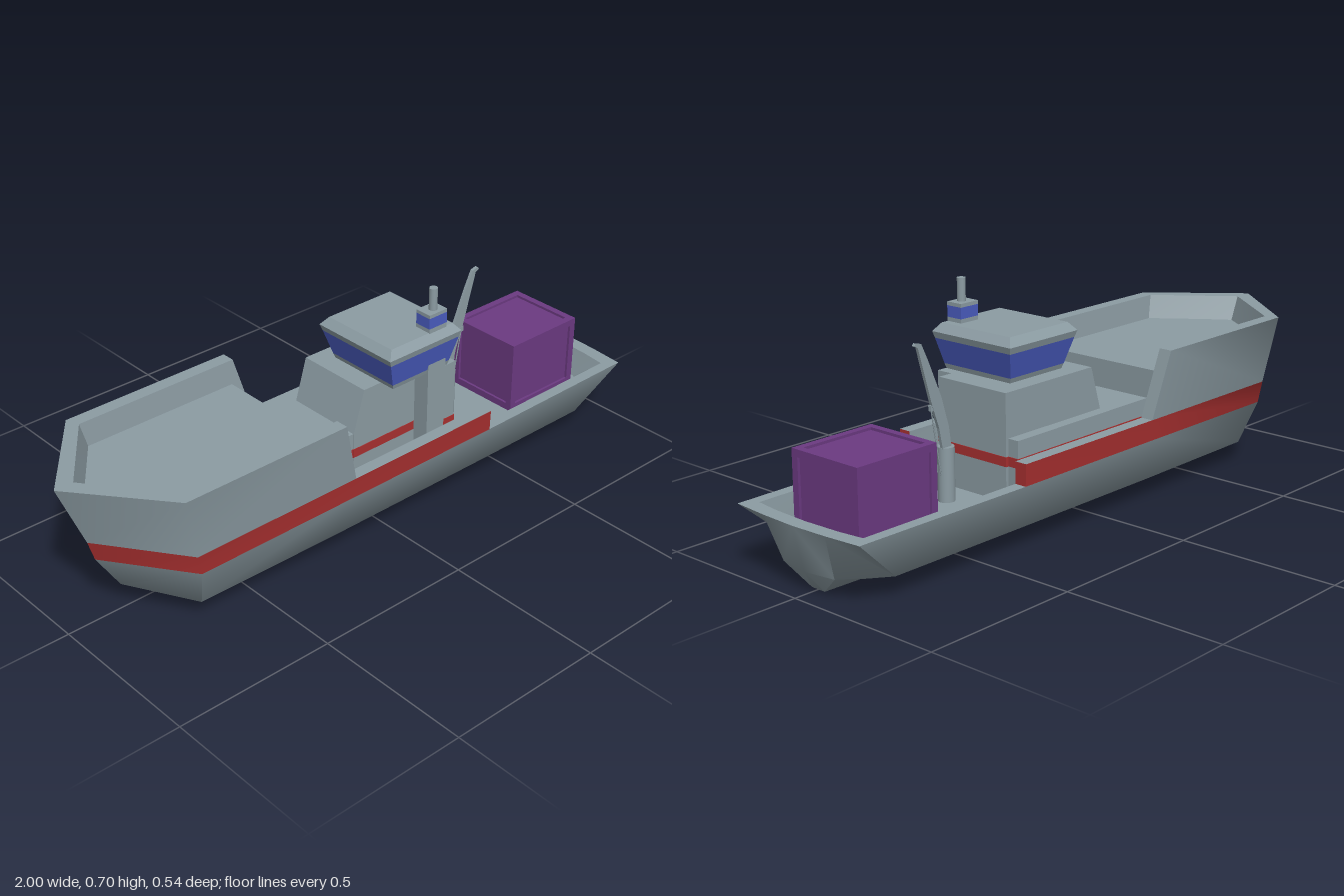
import * as THREE from 'three';
import { mergeGeometries, toCreasedNormals } from 'three/addons/utils/BufferGeometryUtils.js';

const material = (name, color, side = THREE.FrontSide) => {
  const m = new THREE.MeshStandardMaterial({ color, side });
  m.name = name;
  return m;
};

export function createModel() {
  const ship = new THREE.Group();
  ship.name = 'cargoShip';
  const grey = material('hullGrey', 0x8c9ca3, THREE.DoubleSide);
  const red = material('stripeRed', 0xa83030, THREE.DoubleSide);
  const blue = material('windowBlue', 0x4a5cc0);
  const purple = material('containerPurple', 0x6c3a82);

  const add = (name, geometry, mat, parent = ship) => {
    const mesh = new THREE.Mesh(geometry, mat);
    mesh.name = name;
    parent.add(mesh);
    return mesh;
  };

  // Six-sided block between two rectangles [x0, x1, z0, z1] at heights y0 and y1
  const blockGeo = (y0, a, y1, b = a) => {
    const g = new THREE.BoxGeometry(1, 1, 1);
    const p = g.attributes.position;
    for (let i = 0; i < p.count; i++) {
      const top = p.getY(i) > 0;
      const r = top ? b : a;
      p.setXYZ(i, p.getX(i) < 0 ? r[0] : r[1], top ? y1 : y0, p.getZ(i) < 0 ? r[2] : r[3]);
    }
    const flat = g.toNonIndexed();
    flat.computeVertexNormals();
    return flat;
  };
  const block = (name, mat, y0, a, y1, b, parent) => add(name, blockGeo(y0, a, y1, b), mat, parent);

  // Strip between two polylines running bow to stern, mirrored to the other side
  const band = (low, high) => {
    const pos = [];
    const tri = (a, b, c) => {
      pos.push(...a, ...b, ...c);
      for (const [x, y, z] of [a, c, b]) pos.push(x, y, -z);
    };
    for (let i = 0; i < low.length - 1; i++) {
      tri(low[i], low[i + 1], high[i + 1]);
      tri(low[i], high[i + 1], high[i]);
    }
    const g = new THREE.BufferGeometry();
    g.setAttribute('position', new THREE.Float32BufferAttribute(pos, 3));
    return g;
  };
  const skin = (name, mat, bands, crease = 0.5) =>
    add(name, toCreasedNormals(mergeGeometries(bands.map(([a, b]) => band(a, b))), crease), mat);

  // Half outlines of the hull: bow tip, bow corner, side points, stern corner, stern centre
  const ring = (y, pts) => pts.map(([x, z]) => [x, y, z]);
  const keel = ring(0, [[-0.58, 0], [-0.56, 0.03], [-0.2, 0.03], [0.38, 0.03], [0.8, 0.03], [0.92, 0.025], [0.92, 0]]);
  const chine = ring(0.063, [[-0.82, 0], [-0.69, 0.195], [-0.2, 0.202], [0.38, 0.202], [0.83, 0.2], [0.95, 0.1], [0.965, 0]]);
  chine[0][1] = 0.08;
  const sheer = ring(0.2, [[-0.895, 0], [-0.72, 0.245], [-0.2, 0.245], [0.38, 0.245], [0.985, 0.238], [0.995, 0.12], [1, 0]]);
  const innerSheer = ring(0.2, [[-0.835, 0], [-0.7, 0.207], [-0.2, 0.207], [0.38, 0.207], [0.94, 0.203], [0.95, 0.12], [0.955, 0]]);
  const deckEdge = ring(0.12, [[-0.76, 0], [-0.66, 0.195], [-0.2, 0.2], [0.38, 0.2], [0.84, 0.195], [0.92, 0.11], [0.935, 0]]);
  const toCentre = (line) => line.map(([x, y]) => [x, y, 0]);

  skin('hull', grey, [[toCentre(keel), keel], [keel, chine], [chine, sheer]], 0.97);
  skin('hullRail', grey, [[sheer, innerSheer], [innerSheer, deckEdge]]);
  skin('mainDeck', grey, [[deckEdge, toCentre(deckEdge)]]);

  // Red bulwark, ending abaft the deckhouse
  const stripeLow = sheer.slice(0, 4);
  const stripeTop = ring(0.265, [[-0.915, 0], [-0.735, 0.25], [-0.2, 0.25], [0.38, 0.247]]);
  const stripeInnerLow = innerSheer.slice(0, 4);
  const stripeInner = ring(0.265, [[-0.855, 0], [-0.715, 0.21], [-0.2, 0.21], [0.38, 0.207]]);
  const endCap = (ol, oh, il, ih) => [[ol.at(-1), il.at(-1)], [oh.at(-1), ih.at(-1)]];
  skin('redBulwark', red, [
    [stripeLow, stripeTop],
    endCap(stripeLow, stripeTop, stripeInnerLow, stripeInner),
  ], 0.97);
  skin('bulwarkInside', grey, [[stripeTop, stripeInner], [stripeInner, stripeInnerLow]]);

  // High bow walls with a raked after end
  const bowLow = ring(0.265, [[-0.915, 0], [-0.735, 0.25], [-0.17, 0.25]]);
  const bowTop = ring(0.47, [[-1, 0], [-0.78, 0.272], [-0.225, 0.272]]);
  const bowInnerLow = ring(0.265, [[-0.855, 0], [-0.715, 0.208], [-0.17, 0.208]]);
  const bowInner = ring(0.47, [[-0.94, 0], [-0.765, 0.23], [-0.225, 0.23]]);
  skin('bowWall', grey, [[bowLow, bowTop]], 0.97);
  skin('bowRail', grey, [
    [bowTop, bowInner],
    [bowInner, bowInnerLow],
    endCap(bowLow, bowTop, bowInnerLow, bowInner),
  ]);

  // Raised foredeck and its after bulkhead
  const foredeck = ring(0.395, [[-0.91, 0], [-0.755, 0.225], [-0.237, 0.225]]);
  skin('foredeck', grey, [[foredeck, toCentre(foredeck)]]);
  block('foredeckBulkhead', grey, 0.12, [-0.25, -0.237, -0.205, 0.205], 0.394, [-0.25, -0.237, -0.224, 0.224]);

  // Deckhouse
  const house = new THREE.Group();
  house.name = 'deckhouse';
  ship.add(house);
  const lower = [-0.237, 0.335, -0.176, 0.115];
  const side = [0.2, 0.297, 0.1, 0.17];
  const main = [-0.06, 0.345, -0.14, 0.117];
  block('lowerHouse', grey, 0.12, lower, 0.305, lower, house);
  block('upperHouse', grey, 0.12, main, 0.305, main, house);
  block('upperHouseRaked', grey, 0.305, main, 0.438, [-0.02, 0.345, -0.14, 0.117], house);
  block('sideHouse', grey, 0.12, side, 0.438, side, house);
  [lower, main, side].forEach(([x0, x1, z0, z1]) => {
    const e = 0.002;
    const r = [x0 - e, x1 + e, z0 - e, z1 + e];
    block('houseStripe', red, 0.225, r, 0.253, r, house);
  });

  // Wheelhouse flaring up to its roof
  const levels = [
    [0.438, [0.046, 0.264, -0.082, 0.168]],
    [0.453, [0.041, 0.268, -0.087, 0.172]],
    [0.53, [0.018, 0.29, -0.107, 0.187]],
    [0.55, [0.011, 0.296, -0.113, 0.192]],
    [0.575, [0.032, 0.275, -0.093, 0.173]],
  ];
  ['wheelhouseSill', 'wheelhouseWindows', 'wheelhouseEave', 'wheelhouseRoof'].forEach((name, i) =>
    block(name, i === 1 ? blue : grey, ...levels[i], ...levels[i + 1], house));

  // Lookout tower and exhaust pipe
  const tower = [0.18, 0.25, 0.12, 0.175];
  block('tower', grey, 0.12, tower, 0.587, tower, house);
  block('towerWindows', blue, 0.587, tower, 0.621, tower, house);
  block('towerTop', grey, 0.621, tower, 0.632, tower, house);
  add('exhaustPipe', new THREE.CylinderGeometry(0.013, 0.013, 0.07, 12), grey, house)
    .position.set(0.217, 0.666, 0.15);

  // Crane: post, curved jib and hanging line
  const crane = new THREE.Group();
  crane.name = 'crane';
  ship.add(crane);
  add('cranePost', new THREE.CylinderGeometry(0.025, 0.025, 0.16, 20), grey, crane).position.set(0.44, 0.2, 0);
  const jib = new THREE.Shape([
    [0.428, 0.275], [0.462, 0.275], [0.475, 0.34], [0.503, 0.42], [0.535, 0.53], [0.55, 0.583],
    [0.563, 0.59], [0.558, 0.597], [0.537, 0.592], [0.512, 0.54], [0.465, 0.43], [0.438, 0.34],
  ].map(([x, y]) => new THREE.Vector2(x, y)));
  add('craneJib', new THREE.ExtrudeGeometry(jib, { depth: 0.01, bevelEnabled: false }), grey, crane)
    .position.z = -0.011;
  block('cranePulley', grey, 0.395, [0.485, 0.505, -0.01, 0], 0.412, undefined, crane);
  const line = new THREE.LineCurve3(new THREE.Vector3(0.5, 0.4, -0.005), new THREE.Vector3(0.465, 0.2, -0.005));
  add('craneLine', new THREE.TubeGeometry(line, 1, 0.002, 6), grey, crane);

  // Container: recessed panels inside a frame of beams
  const box = new THREE.Group();
  box.name = 'container';
  box.position.set(0.743, 0.2375, 0);
  ship.add(box);
  const size = [0.285, 0.235, 0.254];
  const beam = 0.022;
  add('containerPanels', new THREE.BoxGeometry(...size.map((s) => s - 0.016)), purple, box);
  for (let axis = 0; axis < 3; axis++) {
    for (const s of [-1, 1]) for (const t of [-1, 1]) {
      const dims = [beam, beam, beam];
      dims[axis] = size[axis];
      const u = (axis + 1) % 3;
      const v = (axis + 2) % 3;
      const mesh = add('containerBeam', new THREE.BoxGeometry(...dims), purple, box);
      mesh.position.setComponent(u, s * (size[u] - beam) / 2);
      mesh.position.setComponent(v, t * (size[v] - beam) / 2);
    }
  }
  return ship;
}
